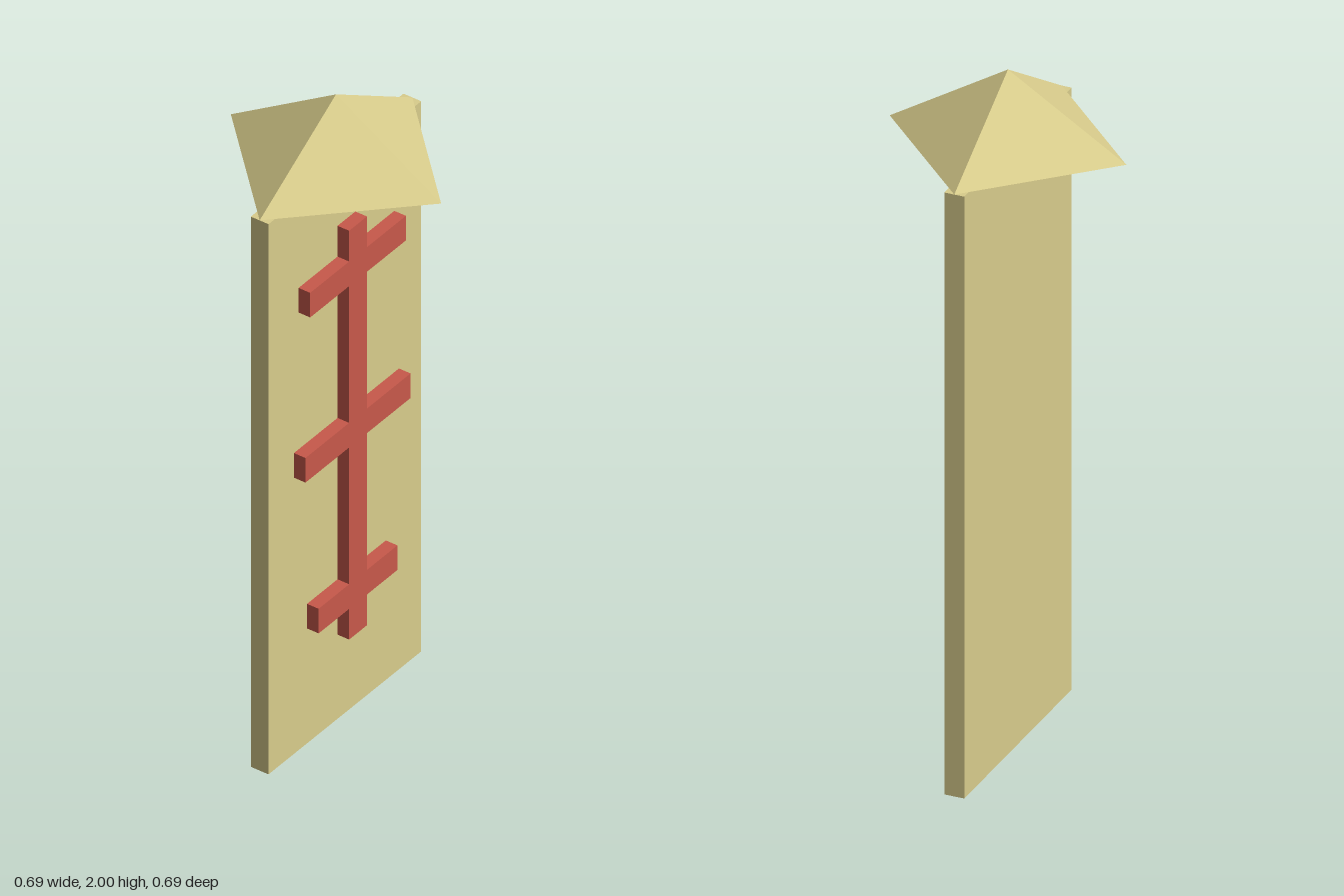
import * as THREE from 'three';

const stone = new THREE.MeshStandardMaterial({ color: 0xd9cd8c, flatShading: true });
const red = new THREE.MeshStandardMaterial({ color: 0xc8594b, flatShading: true });

function addPart(group, name, geometry, material, y, z = 0) {
  const mesh = new THREE.Mesh(geometry, material);
  mesh.name = name;
  mesh.position.set(0, y, z);
  group.add(mesh);
}

// One outline for the spine and its crossbars: right side upward, then mirrored down
function emblemShape() {
  const spine = 0.04;
  const bars = [[0.177, 0.38, 0.46], [0.236, 0.905, 0.985], [0.215, 1.43, 1.51]];
  const side = [[spine, 0.28]];
  for (const [half, low, high] of bars) {
    side.push([spine, low], [half, low], [half, high], [spine, high]);
  }
  side.push([spine, 1.61]);
  const mirrored = side.map(([x, y]) => [-x, y]).reverse();
  return new THREE.Shape([...side, ...mirrored].map(([x, y]) => new THREE.Vector2(x, y)));
}

export function createModel() {
  const group = new THREE.Group();
  group.name = 'markerPost';
  const half = 0.343, slabHeight = 1.79, roofHeight = 0.21;

  // Upright slab
  addPart(group, 'slab', new THREE.BoxGeometry(half * 2, slabHeight, 0.058), stone, slabHeight / 2);

  // Four-sided roof with its corners on the x and z axes
  addPart(group, 'roof', new THREE.ConeGeometry(half, roofHeight, 4), stone, slabHeight + roofHeight / 2);

  // Raised emblem standing just off the front face
  const emblem = new THREE.ExtrudeGeometry(emblemShape(), { depth: 0.038, bevelEnabled: false });
  addPart(group, 'emblem', emblem, red, 0, 0.034);

  return group;
}
